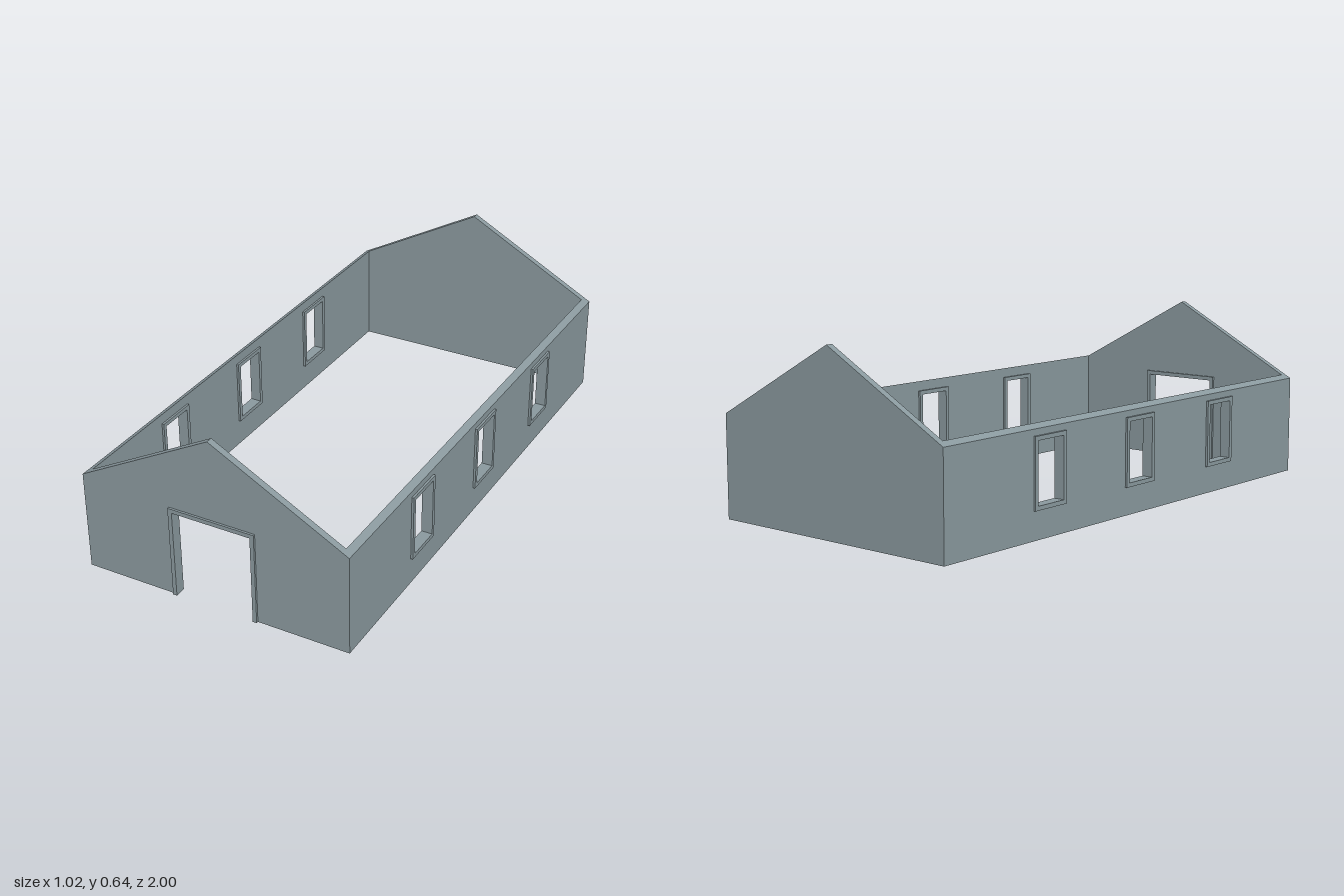
import * as THREE from 'three';

const W = 0.504;        // half width
const L = 0.996;        // half length
const T = 0.025;        // wall thickness
const EAVE = 0.368, RIDGE = 0.64;
const LIP = 0.008;      // how far frames stand proud of the wall
const BAR = 0.015;      // frame bar width
const HEAD = 0.345;     // top of door and window frames
const SILL = 0.1;
const WINDOW = 0.08;    // half width of window frame
const DOOR = 0.163;     // half width of door frame
const WINDOW_Z = [-0.492, 0, 0.492];

const polygon = (points) => new THREE.Shape(points.map(([x, y]) => new THREE.Vector2(x, y)));
const rect = (x0, y0, x1, y1) => polygon([[x0, y0], [x1, y0], [x1, y1], [x0, y1]]);
const extrude = (shape, depth) => new THREE.ExtrudeGeometry(shape, { depth, bevelEnabled: false });

export function createModel() {
  const wall = new THREE.MeshStandardMaterial({ color: 0x8a999e });
  wall.name = 'wallGrey';

  const model = new THREE.Group();
  model.name = 'building';
  const shell = new THREE.Group();
  shell.name = 'shell';
  shell.position.z = -LIP / 2;
  model.add(shell);

  const add = (parent, geometry, name) => {
    const mesh = new THREE.Mesh(geometry, wall);
    mesh.name = name;
    parent.add(mesh);
    return mesh;
  };

  // Back gable, plain
  const roofLine = [[W, EAVE], [0, RIDGE], [-W, EAVE]];
  add(shell, extrude(polygon([[-W, 0], [W, 0], ...roofLine]), T), 'backGable').position.z = -L;

  // Front gable, notched for the doorway
  const d = DOOR - BAR / 2, h = HEAD - BAR / 2;
  const front = polygon([[-W, 0], [-d, 0], [-d, h], [d, h], [d, 0], [W, 0], ...roofLine]);
  add(shell, extrude(front, T), 'frontGable').position.z = L - T;

  // Door frame: two jambs and a head, open at the floor
  const i = DOOR - BAR, top = HEAD - BAR;
  const doorShape = polygon([[-DOOR, 0], [-i, 0], [-i, top], [i, top], [i, 0],
    [DOOR, 0], [DOOR, HEAD], [-DOOR, HEAD]]);
  add(shell, extrude(doorShape, T + 2 * LIP), 'doorFrame').position.z = L - T - LIP;

  // Side wall with window openings; its top follows the roof pitch
  const end = L - T;
  const sideShape = rect(-end, 0, end, EAVE);
  for (const z of WINDOW_Z) {
    const w = WINDOW - BAR / 2;
    sideShape.holes.push(rect(z - w, SILL + BAR / 2, z + w, HEAD - BAR / 2));
  }
  const sideGeometry = extrude(sideShape, T);
  const p = sideGeometry.attributes.position;
  const pitch = (RIDGE - EAVE) / W;
  for (let k = 0; k < p.count; k++) {
    if (p.getY(k) > EAVE - 0.001) p.setY(k, EAVE + p.getZ(k) * pitch);
  }
  sideGeometry.computeVertexNormals();
  sideGeometry.rotateY(-Math.PI / 2);

  // Window frame
  const frameShape = rect(-WINDOW, SILL, WINDOW, HEAD);
  frameShape.holes.push(rect(-WINDOW + BAR, SILL + BAR, WINDOW - BAR, HEAD - BAR));
  const frameGeometry = extrude(frameShape, T + 2 * LIP).rotateY(-Math.PI / 2);

  // Both long sides
  for (const [side, turn] of [['left', 0], ['right', Math.PI]]) {
    const group = new THREE.Group();
    group.name = side + 'Side';
    group.rotation.y = turn;
    add(group, sideGeometry, side + 'Wall').position.x = W;
    for (const z of WINDOW_Z) {
      add(group, frameGeometry, side + 'WindowFrame').position.set(W + LIP, 0, z);
    }
    shell.add(group);
  }
  return model;
}
